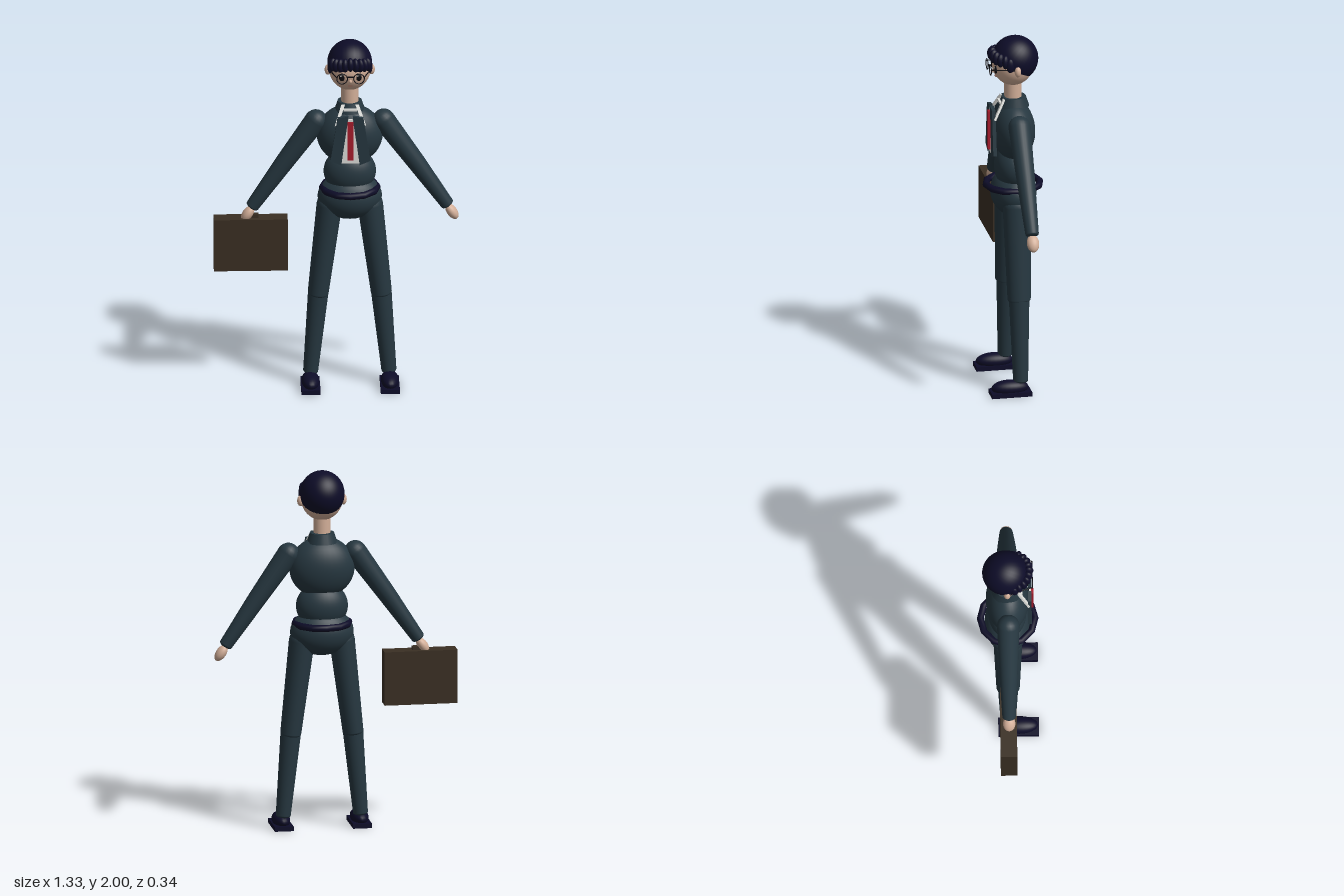
import * as THREE from 'three';

const paint = (name, color) => {
  const m = new THREE.MeshStandardMaterial({ color });
  m.name = name;
  return m;
};

export function createModel() {
  const suit = paint('suit', 0x263740);
  const navy = paint('navy', 0x0d0c28);
  const skin = paint('skin', 0xd2ae98);
  const white = paint('shirtWhite', 0xdededa);
  const red = paint('tieRed', 0xa81c2c);
  const brown = paint('caseBrown', 0x3a2f23);
  const black = paint('black', 0x0c0a10);
  const lip = paint('lip', 0x8a5a50);

  const model = new THREE.Group();
  model.name = 'standingFigure';
  const body = new THREE.Group();
  body.name = 'body';
  body.position.x = 0.07;
  model.add(body);

  const add = (name, geo, mat, x = 0, y = 0, z = 0) => {
    const m = new THREE.Mesh(geo, mat);
    m.name = name;
    m.position.set(x, y, z);
    body.add(m);
    return m;
  };
  const ball = (name, mat, x, y, z, rx, ry, rz, seg = 24) => {
    const m = add(name, new THREE.SphereGeometry(1, seg, Math.ceil(seg * 0.7)), mat, x, y, z);
    m.scale.set(rx, ry, rz);
    return m;
  };
  const box = (name, mat, x, y, z, w, h, d) => add(name, new THREE.BoxGeometry(w, h, d), mat, x, y, z);

  // Tapered limb with rounded ends, running from a to b
  const limb = (name, mat, a, b, ra, rb, depth = 1) => {
    const A = new THREE.Vector3(...a), B = new THREE.Vector3(...b);
    const dir = B.clone().sub(A), len = dir.length(), pts = [];
    for (let i = 0; i <= 6; i++) {
      const t = (i / 6) * Math.PI / 2;
      pts.push(new THREE.Vector2(ra * Math.sin(t), -ra * Math.cos(t)));
    }
    for (let i = 0; i <= 6; i++) {
      const t = (i / 6) * Math.PI / 2;
      pts.push(new THREE.Vector2(rb * Math.cos(t), len + 0.4 * rb * Math.sin(t)));
    }
    const m = add(name, new THREE.LatheGeometry(pts, 24), mat, ...a);
    m.scale.z = depth;
    m.quaternion.setFromUnitVectors(new THREE.Vector3(0, 1, 0), dir.normalize());
    return m;
  };
  // Flat cut-out plate from front outline points
  const plate = (name, mat, pts, z, depth) => add(name, new THREE.ExtrudeGeometry(
    new THREE.Shape(pts.map(p => new THREE.Vector2(...p))), { depth, bevelEnabled: false }), mat, 0, 0, z);

  // Torso
  ball('chest', suit, 0, 1.46, -0.002, 0.18, 0.17, 0.117, 32);
  ball('waist', suit, 0, 1.245, -0.002, 0.143, 0.13, 0.104, 32);
  ball('hips', suit, 0, 1.1, -0.002, 0.175, 0.13, 0.124, 32);
  const belt = add('belt', new THREE.TorusGeometry(0.149, 0.019, 10, 12), navy, 0, 1.149, 0);
  belt.rotation.x = Math.PI / 2;

  // Neck and jacket collar
  add('neck', new THREE.CylinderGeometry(0.047, 0.047, 0.18, 24), skin, 0, 1.67, 0);
  add('jacketCollar', new THREE.CylinderGeometry(0.066, 0.084, 0.055, 24), suit, 0, 1.627, -0.005);

  // Shirt front and tie
  plate('shirtFront', white, [[-0.05, 1.335], [0.05, 1.335], [0.012, 1.59], [-0.012, 1.59]], 0.117, 0.009);
  box('tie', red, 0, 1.468, 0.134, 0.032, 0.222, 0.012);
  box('collarBand', white, 0, 1.627, 0.074, 0.075, 0.012, 0.012);

  // Everything mirrored left and right
  for (const s of [1, -1]) {
    const side = s > 0 ? 'left' : 'right';

    // Jacket lapel
    plate(side + 'Lapel', suit,
      [[s * 0.012, 1.61], [s * 0.07, 1.6], [s * 0.109, 1.35], [s * 0.05, 1.325]], 0.11, 0.02);

    // Slanted shirt collar leaf
    const leaf = plate(side + 'ShirtCollar', white,
      [[s * 0.028, 0], [s * 0.048, 0], [s * 0.086, -0.118], [s * 0.066, -0.108]], 0, 0.012);
    leaf.position.set(0, 1.648, 0.052);
    leaf.rotation.x = -0.52;

    // Arm and hand
    limb(side + 'UpperArm', suit, [s * 0.185, 1.54, 0], [s * 0.365, 1.285, 0], 0.061, 0.05);
    limb(side + 'Forearm', suit, [s * 0.365, 1.285, 0], [s * 0.53, 1.045, 0], 0.05, 0.037);
    const hand = ball(side + 'Hand', skin, s * 0.556, 1.0, 0, 0.028, 0.05, 0.034);
    hand.rotation.z = s * 0.6;

    // Leg
    limb(side + 'Thigh', suit, [s * 0.111, 1.05, 0], [s * 0.172, 0.535, 0], 0.07, 0.057, 1.12);
    limb(side + 'Shin', suit, [s * 0.172, 0.535, 0], [s * 0.213, 0.08, 0], 0.056, 0.041);

    // Shoe
    box(side + 'Sole', navy, s * 0.216, 0.0125, 0.057, 0.104, 0.025, 0.222);
    ball(side + 'Shoe', navy, s * 0.216, 0.043, 0.06, 0.049, 0.042, 0.102);

    // Ear
    ball(side + 'Ear', skin, s * 0.118, 1.835, -0.004, 0.019, 0.03, 0.018, 16);

    // Eye, glasses and temple bar
    ball(side + 'Eye', black, s * 0.046, 1.83, 0.104, 0.016, 0.022, 0.008, 16);
    ball(side + 'EyeGlint', white, s * 0.046 - 0.006, 1.839, 0.111, 0.004, 0.005, 0.003, 8);
    add(side + 'GlassesRim', new THREE.TorusGeometry(0.029, 0.0028, 8, 24), black, s * 0.046, 1.832, 0.134);
    limb(side + 'GlassesTemple', black, [s * 0.075, 1.84, 0.134], [s * 0.118, 1.845, 0.01], 0.003, 0.003);
    const brow = box(side + 'Eyebrow', navy, s * 0.046, 1.866, 0.105, 0.036, 0.006, 0.008);
    brow.rotation.z = -s * 0.1;
  }
  box('glassesBridge', black, 0, 1.842, 0.134, 0.036, 0.006, 0.005);

  // Head
  ball('head', skin, 0, 1.847, 0, 0.115, 0.123, 0.115, 32);
  ball('nose', skin, 0, 1.808, 0.112, 0.009, 0.011, 0.012, 12);
  box('mouth', lip, 0, 1.777, 0.096, 0.026, 0.005, 0.006);

  // Hair cap tilted back, with a fringe of rounded locks
  const capMat = navy;
  const cap = add('hairCap', new THREE.SphereGeometry(0.127, 32, 20, 0, Math.PI * 2, 0, 1.97), capMat, 0, 1.873, -0.012);
  cap.rotation.x = -0.68;
  cap.scale.x = 0.96;
  for (let i = -4; i <= 4; i++) {
    const a = i * 0.26;
    const lock = ball('fringeLock', navy, Math.sin(a) * 0.106, 1.906 - Math.abs(i) * 0.005,
      Math.cos(a) * 0.114, 0.019, 0.039, 0.027, 16);
    lock.rotation.y = a;
  }
  for (const s of [1, -1]) {
    ball('sideburn', navy, s * 0.108, 1.868, 0.035, 0.015, 0.04, 0.022, 16);
  }

  // Briefcase held in the right hand
  box('briefcase', brown, -0.54, 0.829, -0.003, 0.402, 0.298, 0.09);
  box('briefcaseHandle', brown, -0.54, 0.986, -0.003, 0.086, 0.024, 0.03);

  return model;
}
